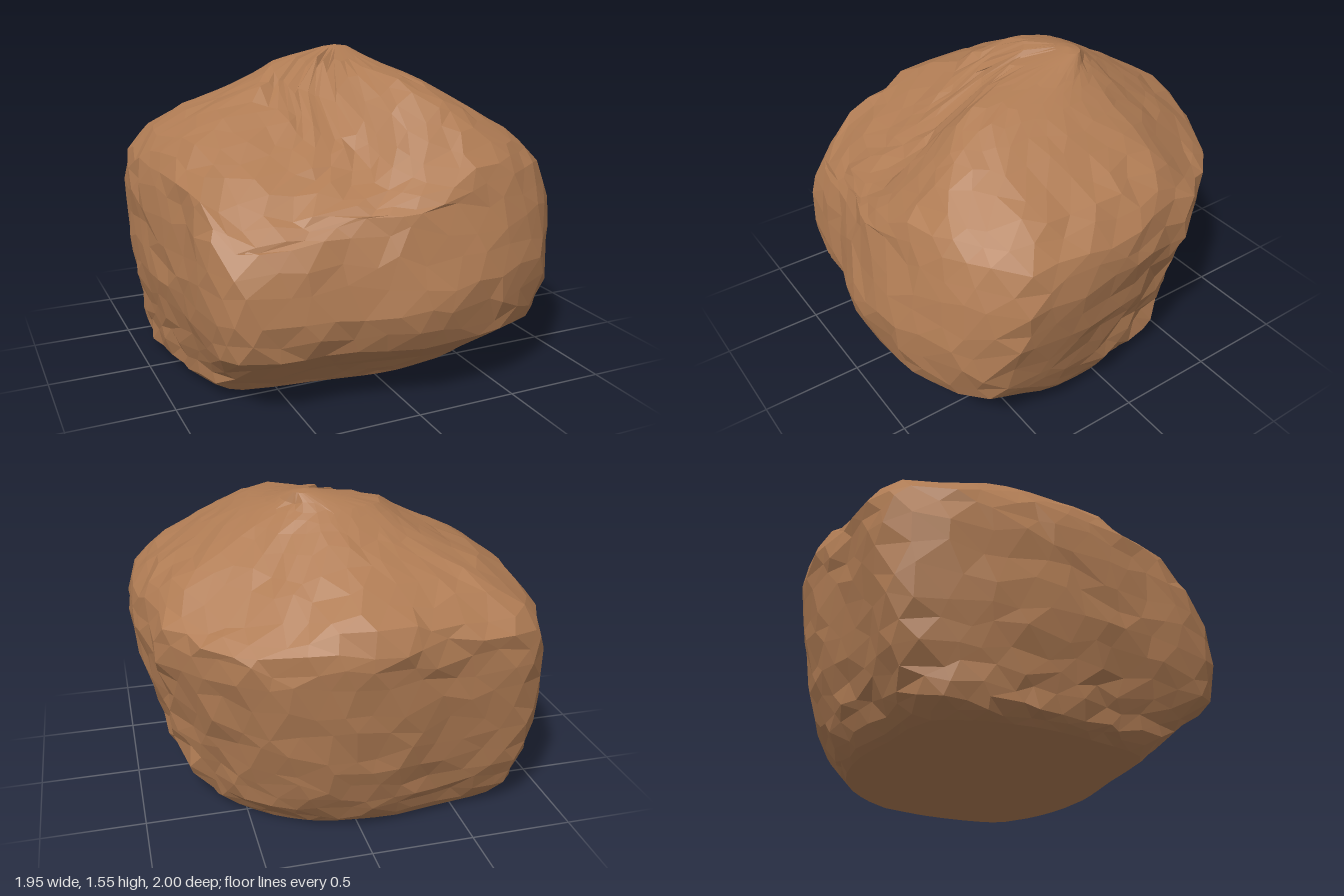
import * as THREE from 'three';

const { smoothstep, lerp } = THREE.MathUtils;

// Plan outline of the boulder, clockwise from the back left corner (x, z)
const OUTLINE = [
  [-0.85, -0.9], [-0.78, -0.93], [-0.4, -0.95], [-0.18, -1], [0.1, -1], [0.35, -0.94],
  [0.58, -0.8], [0.75, -0.62], [0.9, -0.4], [0.94, -0.2], [0.98, 0], [1, 0.4],
  [0.97, 0.68], [0.92, 0.76], [0.77, 0.87], [0.58, 0.95], [0.22, 1], [0, 0.97],
  [-0.25, 0.91], [-0.6, 0.87], [-0.81, 0.81], [-0.89, 0.62], [-0.92, 0.4], [-0.97, 0.1],
  [-1, -0.18], [-0.97, -0.6], [-0.93, -0.75],
];

// Height, min x, max x, min z, max z, roundness
const LEVELS = [
  [0, -0.85, 0.69, -0.72, 0.55, 0.15],
  [0.04, -0.92, 0.73, -0.78, 0.6, 0.1],
  [0.15, -0.93, 0.82, -0.84, 0.74, 0.05],
  [0.29, -0.95, 0.86, -0.89, 0.95, 0],
  [0.45, -0.98, 0.9, -0.93, 1.0, 0],
  [0.65, -0.98, 0.95, -0.96, 0.98, 0],
  [0.85, -0.98, 0.98, -0.98, 0.91, 0.05],
  [1.0, -0.96, 0.95, -1.0, 0.89, 0.12],
  [1.13, -0.88, 0.86, -0.94, 0.84, 0.28],
  [1.25, -0.7, 0.69, -0.76, 0.74, 0.5],
  [1.35, -0.47, 0.52, -0.58, 0.62, 0.65],
  [1.43, -0.33, 0.38, -0.45, 0.46, 0.6],
  [1.48, -0.25, 0.28, -0.37, 0.12, 0.9],
  [1.54, 0.06, 0.2, -0.28, -0.18, 1],
];

function seeded(seed) {
  return () => {
    seed = (seed * 16807) % 2147483647;
    return seed / 2147483647;
  };
}

// Point on the smooth boulder: u runs round the outline, v runs up the levels
const curve = new THREE.CatmullRomCurve3(OUTLINE.map(([x, z]) => new THREE.Vector3(x, 0, z)), true);
function surfacePoint(u, v) {
  const f = v * (LEVELS.length - 1);
  const i = Math.min(Math.floor(f), LEVELS.length - 2);
  const [y, x0, x1, z0, z1, round] = LEVELS[i].map((a, k) => lerp(a, LEVELS[i + 1][k], f - i));
  const p = curve.getPointAt(((u % 1) + 1) % 1);
  p.lerp(p.clone().normalize(), round);
  return new THREE.Vector3((x0 + x1) / 2 + p.x * (x1 - x0) / 2, y, (z0 + z1) / 2 + p.z * (z1 - z0) / 2);
}

// Slanted strata groove the right side, over fine roughness
function carve(p, random) {
  const mask = smoothstep(p.x, 0.5, 0.75) * smoothstep(-p.z, -0.2, 0.1)
    * smoothstep(p.y, 0, 0.12) * (1 - smoothstep(p.y, 0.6, 0.9));
  const groove = Math.max(0, Math.sin(17 * (p.x + p.y + p.z) + 1.5)) ** 2;
  const roughness = 0.025 * (1 - smoothstep(p.y, 1.2, 1.5)) * (random() - 0.35);
  const inward = new THREE.Vector3(0, 0.7, 0).sub(p).normalize();
  p.addScaledVector(inward, 0.045 * groove * mask + roughness);
}

// Sloping faces that shear off the upper part
function shear(p, random) {
  const steepFront = 1.75 - 0.96 * p.z + 0.35 * p.x;
  const knob = 0.24 * smoothstep(p.x, -0.1, 0.25);
  const gentleFront = 1.43 - 0.61 * p.z + 0.15 * p.x + knob;
  const backLeft = 1.78 - 0.57 * p.x + 0.62 * p.z;
  p.y = Math.min(p.y, Math.min(steepFront, gentleFront, backLeft) + 0.025 * (random() - 0.5));
}

function boulderGeometry() {
  const around = 44, up = 22, random = seeded(4217);
  const positions = [], index = [];
  for (let j = 0; j <= up; j++) {
    const edge = j === 0 || j === up;
    for (let i = 0; i < around; i++) {
      const u = (i + (random() - 0.5) * 0.6 + (j % 2) * 0.5) / around;
      const v = edge ? j / up : (j + (random() - 0.5) * 0.6) / up;
      const p = surfacePoint(u, v);
      if (!edge) {
        carve(p, random);
        shear(p, random);
      }
      positions.push(p.x, p.y, p.z);
    }
  }
  // Sides
  for (let j = 0; j < up; j++) {
    for (let i = 0; i < around; i++) {
      const n = (i + 1) % around;
      const a = j * around + i, b = j * around + n;
      const c = a + around, d = b + around;
      if (j % 2) index.push(a, d, b, a, c, d);
      else index.push(a, c, b, b, c, d);
    }
  }
  // Flat underside and small summit
  const bottom = positions.length / 3, top = bottom + 1, last = up * around;
  positions.push(-0.08, 0, -0.07, 0.13, 1.55, -0.23);
  for (let i = 0; i < around; i++) {
    const n = (i + 1) % around;
    index.push(bottom, i, n, top, last + n, last + i);
  }
  const indexed = new THREE.BufferGeometry();
  indexed.setAttribute('position', new THREE.Float32BufferAttribute(positions, 3));
  indexed.setIndex(index);
  const geometry = indexed.toNonIndexed();
  geometry.computeVertexNormals();
  return geometry;
}

export function createModel() {
  const group = new THREE.Group();
  group.name = 'rock';
  const stone = new THREE.MeshStandardMaterial({ color: 0xb07c54, flatShading: true });
  stone.name = 'brown stone';
  const boulder = new THREE.Mesh(boulderGeometry(), stone);
  boulder.name = 'boulder';
  group.add(boulder);
  return group;
}
